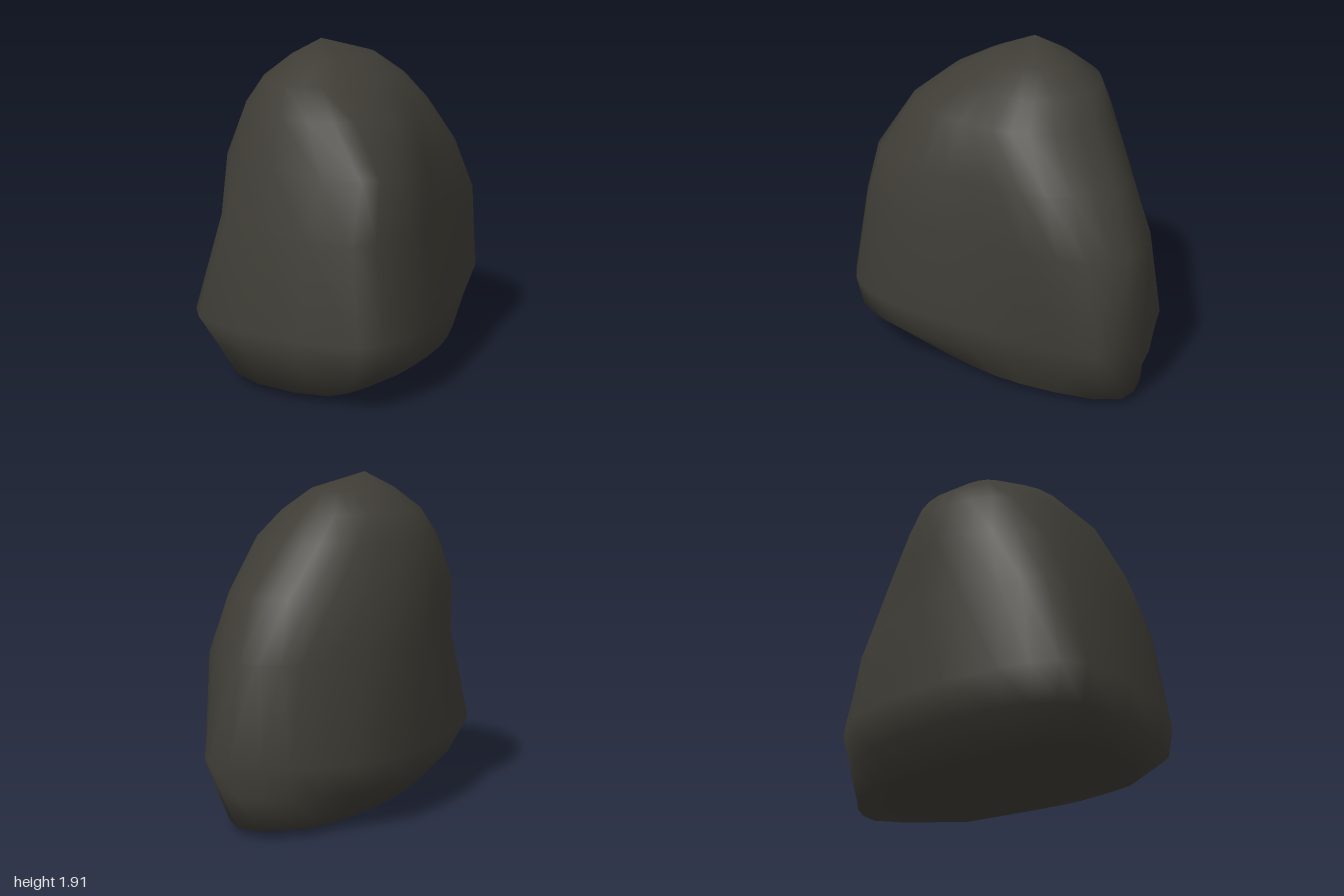
import * as THREE from 'three';

// Plan cross-sections from foot to summit, as x, z pairs running
// left, back, right, diagonal front face, front corner
const HEIGHTS = [0.045, 0.22, 0.4, 0.95, 1.27, 1.55, 1.7, 1.82];
const SECTIONS = [
  [-0.82, -0.08, -0.48, -0.35, 0.25, -0.56, 0.68, -0.54, 0.92, -0.28, 0.53, 0.18, 0.08, 0.42, -0.2, 0.5, -0.59, 0.5],
  [-0.9, -0.15, -0.62, -0.46, 0.28, -0.69, 0.78, -0.53, 0.96, -0.2, 0.7, 0.1, 0.18, 0.52, -0.2, 0.73, -0.58, 0.73],
  [-1, -0.19, -0.68, -0.53, 0.32, -0.79, 0.8, -0.55, 1, -0.14, 0.84, 0.06, 0.3, 0.48, -0.18, 0.77, -0.58, 0.77],
  [-0.82, -0.15, -0.6, -0.48, 0.1, -0.67, 0.7, -0.55, 0.92, -0.3, 0.8, 0.08, 0.26, 0.42, -0.15, 0.68, -0.55, 0.68],
  [-0.75, -0.1, -0.58, -0.5, -0.1, -0.69, 0.45, -0.54, 0.71, -0.3, 0.65, 0.08, 0.25, 0.36, -0.12, 0.6, -0.46, 0.63],
  [-0.62, -0.1, -0.5, -0.44, -0.12, -0.62, 0.25, -0.53, 0.47, -0.31, 0.43, 0.08, 0.18, 0.29, -0.1, 0.43, -0.47, 0.39],
  [-0.52, -0.12, -0.4, -0.4, -0.12, -0.55, 0.16, -0.51, 0.36, -0.33, 0.32, 0, 0.14, 0.13, -0.1, 0.21, -0.4, 0.18],
  [-0.31, -0.15, -0.27, -0.31, -0.12, -0.39, 0.06, -0.38, 0.2, -0.26, 0.18, -0.1, 0.08, -0.01, -0.08, 0.03, -0.24, 0.02],
];
const SIDES = 27;

// Round a cross-section off with a closed curve through its points
function ringPoints(section, y) {
  const corners = [];
  for (let i = 0; i < section.length; i += 2) {
    corners.push(new THREE.Vector3(section[i], y, section[i + 1]));
  }
  return new THREE.CatmullRomCurve3(corners, true).getPoints(SIDES).slice(0, SIDES);
}

function boulderGeometry() {
  const points = SECTIONS.flatMap((section, i) => ringPoints(section, HEIGHTS[i]));
  const index = [];
  const peak = points.push(new THREE.Vector3(-0.12, 1.91, -0.22)) - 1;
  const base = points.push(new THREE.Vector3(0.5, 0, 0.1)) - 1;
  const top = (SECTIONS.length - 1) * SIDES;

  for (let j = 0; j < SIDES; j++) {
    const k = (j + 1) % SIDES;
    for (let row = 0; row < top; row += SIDES) {
      const a = row + j, b = row + k, c = b + SIDES, d = a + SIDES;
      index.push(a, d, c, a, c, b);
    }
    // Close the summit and the underside
    index.push(top + k, top + j, peak);
    index.push(j, k, base);
  }

  const geometry = new THREE.BufferGeometry().setFromPoints(points);
  geometry.setIndex(index);
  geometry.computeVertexNormals();
  return geometry;
}

export function createModel() {
  const stone = new THREE.MeshStandardMaterial({ color: 0x3e3c35 });
  stone.name = 'dark stone';

  const group = new THREE.Group();
  group.name = 'rock';
  const boulder = new THREE.Mesh(boulderGeometry(), stone);
  boulder.name = 'boulder';
  group.add(boulder);
  return group;
}
